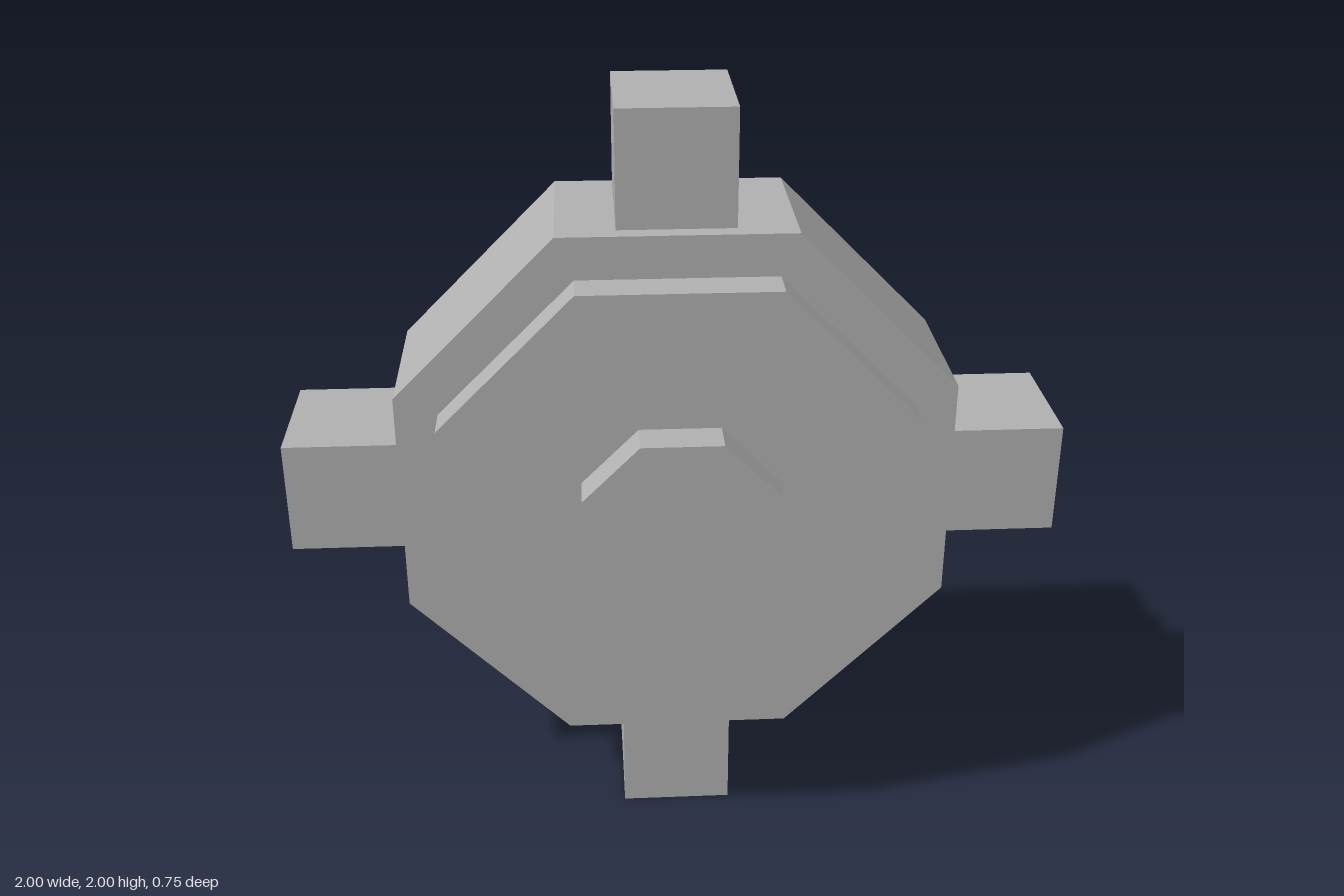
import * as THREE from 'three';

const grey = new THREE.MeshStandardMaterial({ color: 0xb0b0b0 });
grey.name = 'grey';

// Octagonal slab: r = half width, f = half length of the axis-aligned sides
function octagon(name, r, f, back, front) {
  const shape = new THREE.Shape([
    [r, -f], [r, f], [f, r], [-f, r], [-r, f], [-r, -f], [-f, -r], [f, -r],
  ].map(([x, y]) => new THREE.Vector2(x, y)));
  const geometry = new THREE.ExtrudeGeometry(shape, { depth: front - back, bevelEnabled: false });
  const mesh = new THREE.Mesh(geometry, grey);
  mesh.name = name;
  mesh.position.set(0, 1, back);
  return mesh;
}

export function createModel() {
  const model = new THREE.Group();
  model.name = 'octagonalWheel';

  // Stepped body with a small hub on the front only
  model.add(
    octagon('rim', 0.705, 0.295, -0.27, 0.17),
    octagon('frontPlate', 0.597, 0.25, 0.17, 0.272),
    octagon('backPlate', 0.597, 0.25, -0.373, -0.27),
    octagon('hub', 0.245, 0.102, 0.272, 0.373),
  );

  // Four square pegs around the rim
  const inner = 0.7;
  for (let i = 0; i < 4; i++) {
    const angle = i * Math.PI / 2;
    const mid = (1 + inner) / 2;
    const peg = new THREE.Mesh(new THREE.BoxGeometry(1 - inner, 0.294, 0.352), grey);
    peg.name = ['leftPeg', 'topPeg', 'rightPeg', 'bottomPeg'][i];
    peg.position.set(Math.cos(angle) * mid, 1 + Math.sin(angle) * mid, -0.052);
    peg.rotation.z = angle;
    model.add(peg);
  }
  return model;
}
